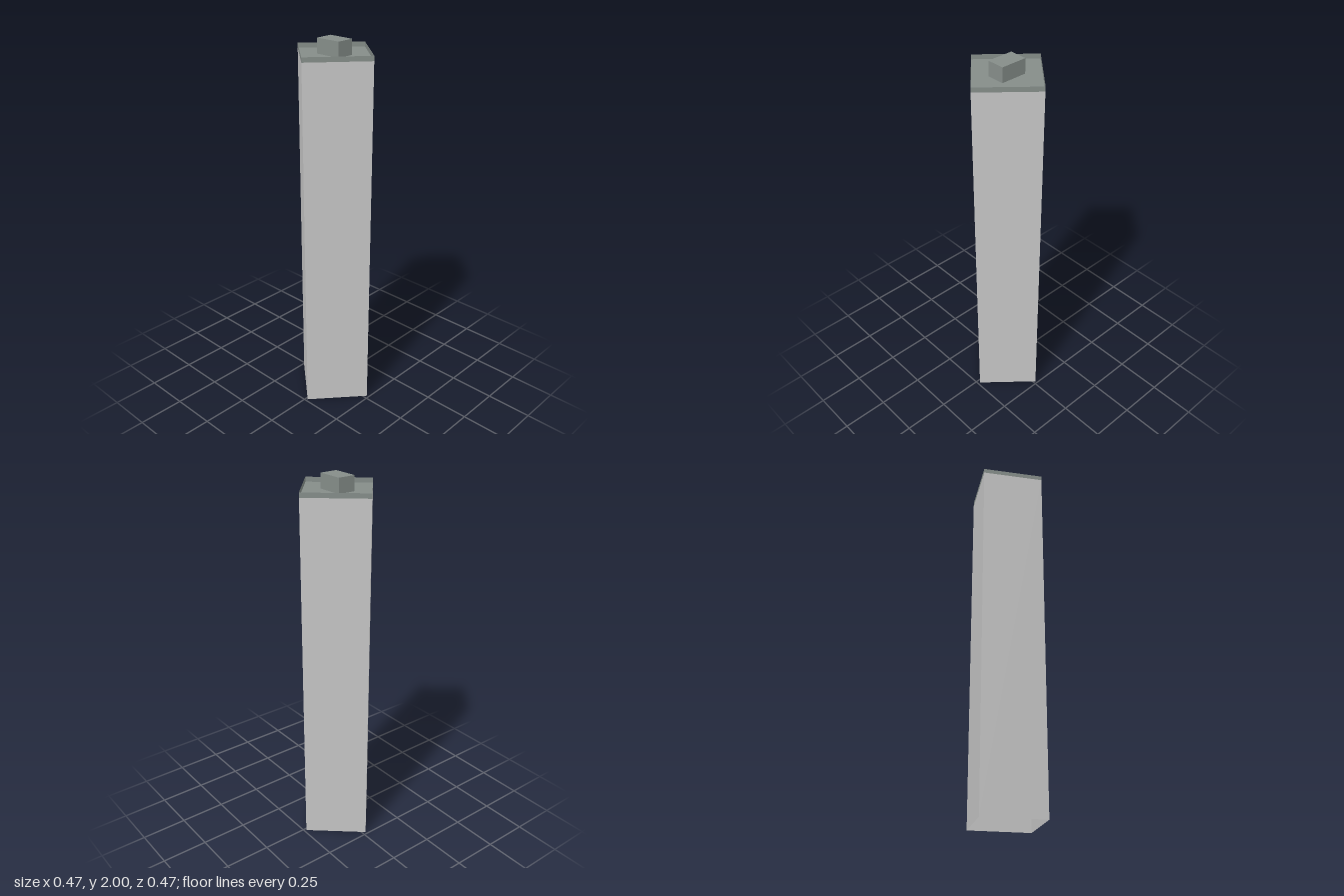
import * as THREE from 'three';

const WIDTH = 0.332, DEPTH = 0.34, ROOF_Y = 1.923, RIM_Y = 1.948, TOP_Y = 2;

// Four upright walls around the footprint, open above and below
function wallRing(y0, y1, material, name) {
  const group = new THREE.Group();
  group.name = name;
  for (let i = 0; i < 4; i++) {
    const [span, offset] = i % 2 ? [DEPTH, WIDTH / 2] : [WIDTH, DEPTH / 2];
    const geometry = new THREE.PlaneGeometry(span, y1 - y0);
    geometry.translate(0, (y0 + y1) / 2, offset);
    geometry.rotateY(i * Math.PI / 2);
    const wall = new THREE.Mesh(geometry, material);
    wall.name = name + 'Side';
    group.add(wall);
  }
  return group;
}

export function createModel() {
  const wallGrey = new THREE.MeshStandardMaterial({ color: 0xc6c6c6, side: THREE.DoubleSide });
  wallGrey.name = 'wall grey';
  const roofGrey = new THREE.MeshStandardMaterial({ color: 0x858d89, side: THREE.DoubleSide });
  roofGrey.name = 'roof grey green';

  const model = new THREE.Group();
  model.name = 'tower';

  // Turned shaft with a thin parapet around a sunken flat roof
  const shaft = new THREE.Group();
  shaft.name = 'shaft';
  shaft.rotation.y = -0.717;
  shaft.add(wallRing(0, ROOF_Y, wallGrey, 'wall'));
  shaft.add(wallRing(ROOF_Y, RIM_Y, roofGrey, 'parapet'));

  const roof = new THREE.Mesh(new THREE.PlaneGeometry(WIDTH, DEPTH).rotateX(-Math.PI / 2), roofGrey);
  roof.name = 'roof';
  roof.position.y = ROOF_Y;
  shaft.add(roof);
  model.add(shaft);

  // Rooftop housing, square to the axes
  const height = TOP_Y - ROOF_Y;
  const housing = new THREE.Mesh(new THREE.BoxGeometry(0.142, height, 0.095), roofGrey);
  housing.name = 'roofHousing';
  housing.position.y = ROOF_Y + height / 2;
  model.add(housing);

  return model;
}
